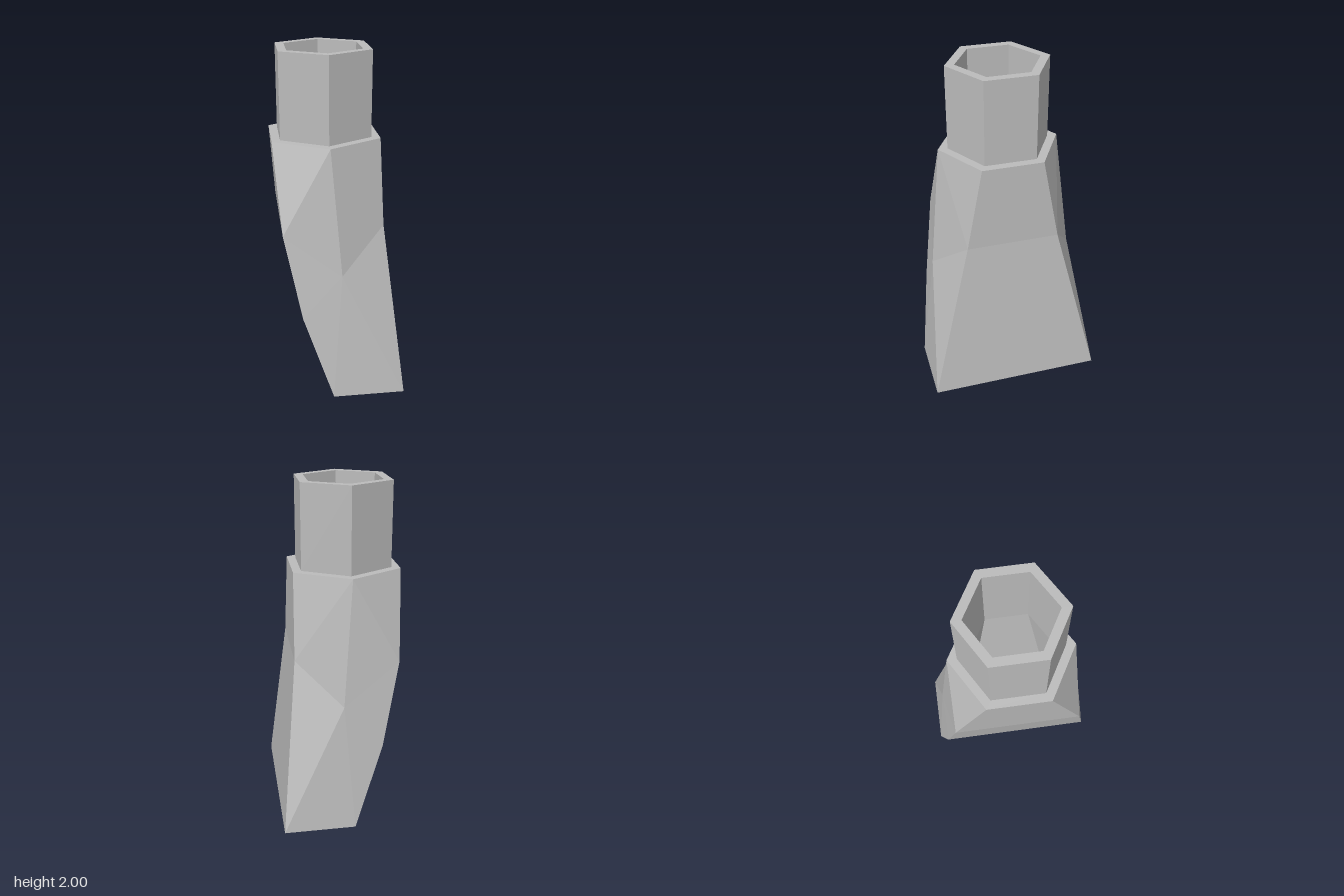
import * as THREE from 'three';

const CX = -0.058; // axis of the hexagonal neck

// Hexagonal ring with corners on the z axis, counter-clockwise from above
function hexRing(r, y) {
  return Array.from({ length: 6 }, (_, i) => {
    const a = (i * Math.PI) / 3;
    return [CX + r * Math.sin(a), y, r * Math.cos(a)];
  });
}

// Six-point slot section: left and right x, corner z and middle z
function slotRing(xl, xr, zc, zm, y) {
  const xm = (xl + xr) / 2;
  return [[xm, y, zm], [xr, y, zc], [xr, y, -zc], [xm, y, -zm], [xl, y, -zc], [xl, y, zc]];
}

function flatGeometry(triangles) {
  const g = new THREE.BufferGeometry();
  g.setAttribute('position', new THREE.Float32BufferAttribute(triangles.flat(2), 3));
  g.computeVertexNormals();
  return g;
}

// Skin between successive rings
function loft(rings) {
  const tris = [];
  for (let k = 0; k + 1 < rings.length; k++) {
    const a = rings[k], b = rings[k + 1];
    for (let i = 0; i < a.length; i++) {
      const j = (i + 1) % a.length;
      tris.push([a[i], a[j], b[j]], [a[i], b[j], b[i]]);
    }
  }
  return flatGeometry(tris);
}

// Faceted outer shell, mirrored front to back
function shellGeometry() {
  const hex = hexRing(0.36, 1.5);
  const H = hex[0];
  const M = [0, 0.76, 0.44];
  const L = [[-0.058, 0, 0.523], [-0.23, 0.5, 0.448], [-0.332, 1, 0.375], hex[5]];
  const R = [[0.367, 0, 0.523], [0.265, 1, 0.275], hex[1]];
  const mirror = ([x, y, z]) => [x, y, -z];

  const side = [
    [L[3], L[2], H], [H, L[2], M], [L[2], L[1], M], [L[1], L[0], M],
    [L[0], R[0], M], [R[0], R[1], M], [M, R[1], H], [R[1], R[2], H],
  ];
  const tris = [...side, ...side.map(([a, b, c]) => [mirror(a), mirror(c), mirror(b)])];
  const band = (a, b, c, d) => tris.push([a, b, c], [a, c, d]);
  for (let i = 0; i < 2; i++) band(R[i], mirror(R[i]), mirror(R[i + 1]), R[i + 1]);
  for (let i = 0; i < 3; i++) band(mirror(L[i]), L[i], L[i + 1], mirror(L[i + 1]));
  return flatGeometry(tris);
}

export function createModel() {
  const model = new THREE.Group();
  model.name = 'nozzleAdapter';
  const grey = new THREE.MeshStandardMaterial({ color: 0xbbbbbb, side: THREE.DoubleSide });
  grey.name = 'grey';
  const add = (name, geometry) => {
    const mesh = new THREE.Mesh(geometry, grey);
    mesh.name = name;
    model.add(mesh);
    return mesh;
  };

  add('bodyShell', shellGeometry());

  // Shoulder ledge, neck wall and rim
  add('neck', loft([hexRing(0.36, 1.5), hexRing(0.303, 1.5), hexRing(0.303, 2), hexRing(0.246, 2)]));

  // Hexagonal bore turning into a rectangular slot
  add('bore', loft([
    hexRing(0.246, 2),
    hexRing(0.246, 1.5),
    slotRing(-0.15, 0.09, 0.227, 0.292, 0.8),
    slotRing(-0.114, 0.015, 0.256, 0.305, 0.6),
    slotRing(-0.01, 0.32, 0.345, 0.345, 0),
  ]));

  // Base plate with the slot and two screw holes
  const rect = (path, x0, x1, z) =>
    path.moveTo(x0, -z).lineTo(x1, -z).lineTo(x1, z).lineTo(x0, z).closePath();
  const base = new THREE.Shape();
  rect(base, -0.058, 0.367, 0.523);
  const slot = new THREE.Path();
  rect(slot, -0.01, 0.32, 0.345);
  base.holes.push(slot);
  const holeX = 0.26, holeZ = 0.432, holeR = 0.032, depth = 0.12;
  for (const s of [-1, 1]) {
    base.holes.push(new THREE.Path().absarc(holeX, s * holeZ, holeR, 0, Math.PI * 2, true));
    const wall = add('screwHole', new THREE.CylinderGeometry(holeR, holeR, depth, 24, 1, true));
    wall.position.set(holeX, depth / 2, s * holeZ);
    const end = add('screwHoleEnd', new THREE.CircleGeometry(holeR, 24).rotateX(Math.PI / 2));
    end.position.set(holeX, depth, s * holeZ);
  }
  add('basePlate', new THREE.ShapeGeometry(base, 12).rotateX(Math.PI / 2));

  return model;
}
